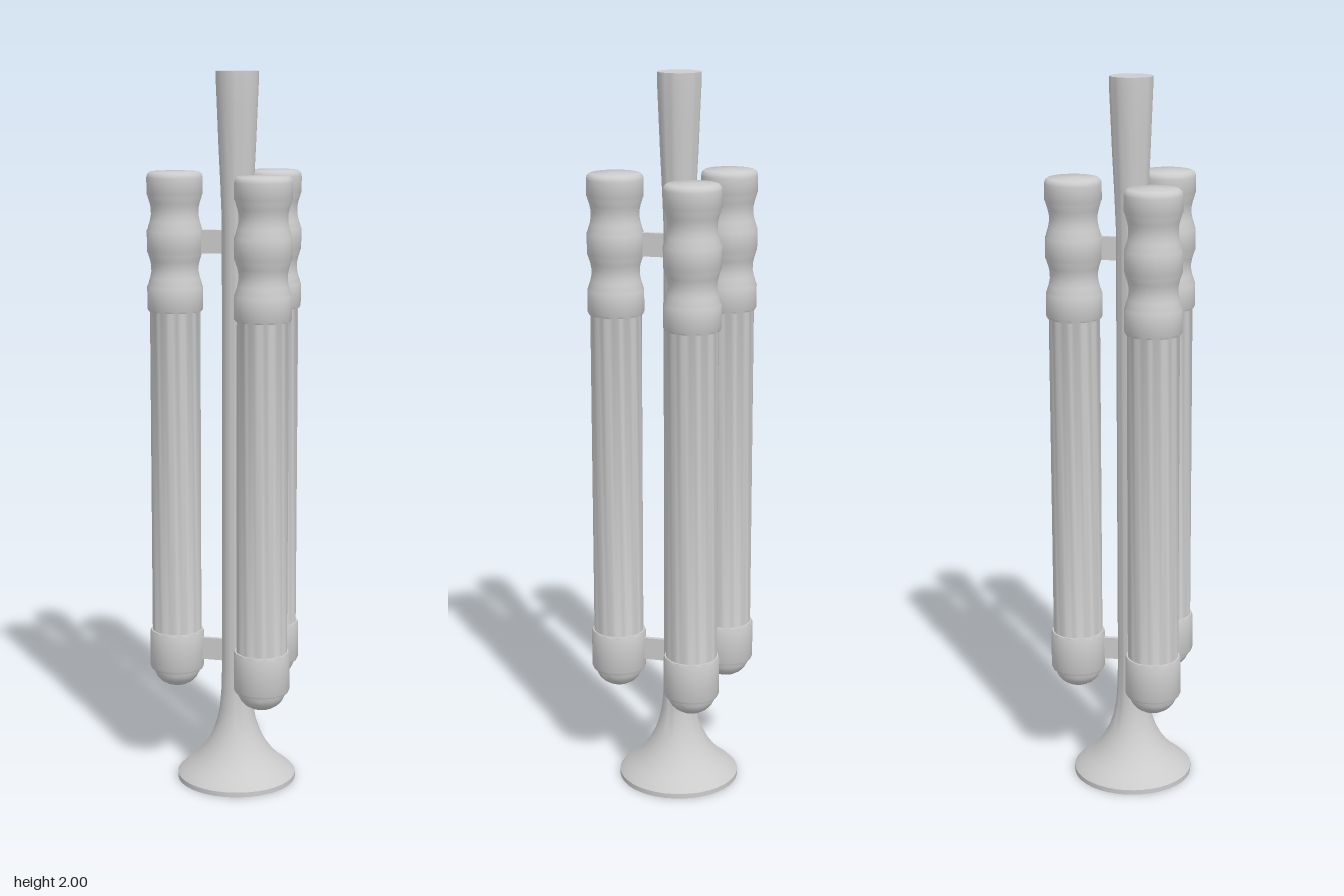
import * as THREE from 'three';
import { toCreasedNormals } from 'three/addons/utils/BufferGeometryUtils.js';

const material = new THREE.MeshStandardMaterial({ color: 0xcccccc });

// Revolved solid from [radius, height] pairs, listed bottom to top
function lathe(name, profile, segments) {
  const points = profile.map(([r, y]) => new THREE.Vector2(r, y));
  const geometry = toCreasedNormals(new THREE.LatheGeometry(points, segments), 0.7);
  const mesh = new THREE.Mesh(geometry, material);
  mesh.name = name;
  return mesh;
}

// Concave neck between two collars
function neck(y0, y1) {
  return [0, 0.2, 0.4, 0.6, 0.8, 1].map(t =>
    [0.074 - 0.009 * Math.sin(Math.PI * t), y0 + (y1 - y0) * t]);
}

// Collar with softly rounded rims
function collar(y0, y1) {
  return [[0.074, y0], [0.077, y0 + 0.006], [0.077, y1 - 0.006], [0.074, y1]];
}

export function createModel() {
  const model = new THREE.Group();
  model.name = 'tubeStand';
  const postX = 0.027, postZ = -0.029;

  // Central post with a trumpet foot and a flared top
  const post = lathe('centralPost', [
    [0, 0], [0.169, 0], [0.169, 0.014], [0.155, 0.028], [0.132, 0.046], [0.108, 0.07],
    [0.086, 0.1], [0.068, 0.135], [0.056, 0.17], [0.048, 0.21], [0.044, 0.26], [0.042, 0.34],
    [0.042, 1.6], [0.046, 1.7], [0.051, 1.8], [0.055, 1.9], [0.058, 1.97], [0.058, 2], [0, 2],
  ], 40);
  post.position.set(postX, 0, postZ);
  model.add(post);

  // Tube: round tip, bottom ferrule, long barrel, then three collars with necks
  const tip = [];
  for (let i = 0; i <= 6; i++) {
    const a = (i / 6) * Math.PI / 2;
    tip.push([0.066 * Math.sin(a), 0.315 - 0.053 * Math.cos(a)]);
  }
  const tubeProfile = [
    ...tip,
    [0.074, 0.315], [0.077, 0.322], [0.077, 0.422], [0.074, 0.43], [0.07, 0.43],
    [0.07, 1.349], ...collar(1.349, 1.423), ...neck(1.425, 1.506),
    ...collar(1.508, 1.577), ...neck(1.579, 1.663),
    [0.074, 1.665], [0.077, 1.671], [0.077, 1.715], [0.075, 1.724], [0.068, 1.73], [0, 1.732],
  ];

  const spots = [[-0.14, -0.085], [0.139, -0.14], [0.082, 0.139]];
  spots.forEach(([x, z], i) => {
    const tube = lathe('tube' + (i + 1), tubeProfile, 40);
    tube.position.set(x, 0, z);
    model.add(tube);

    // Thin plates joining each tube to the post
    const dx = x - postX, dz = z - postZ;
    for (const [label, y] of [['lower', 0.377], ['upper', 1.542]]) {
      const strut = new THREE.Mesh(
        new THREE.BoxGeometry(Math.hypot(dx, dz), 0.064, 0.012), material);
      strut.name = label + 'Strut' + (i + 1);
      strut.position.set(postX + dx / 2, y, postZ + dz / 2);
      strut.rotation.y = Math.atan2(-dz, dx);
      model.add(strut);
    }
  });

  return model;
}
